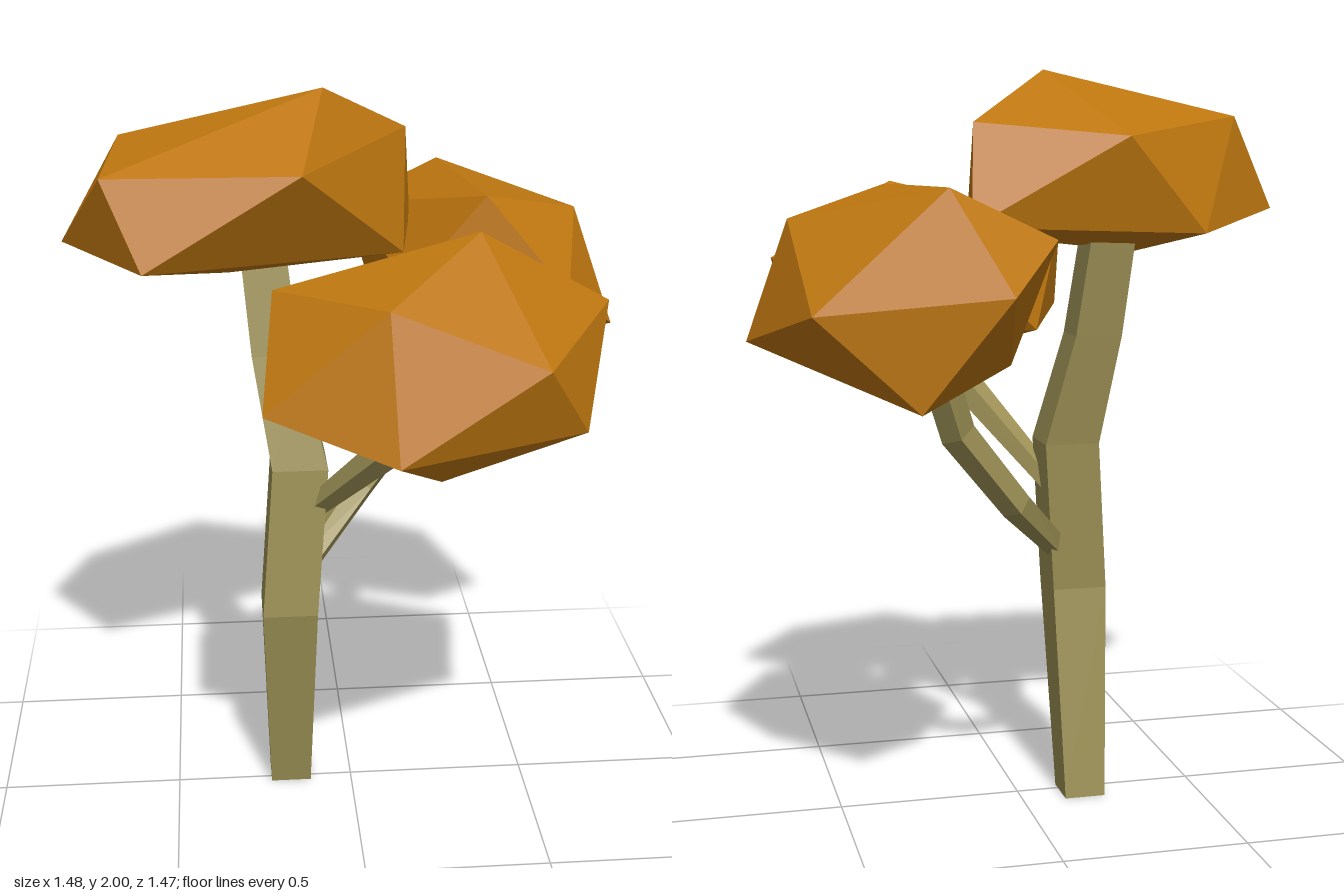
import * as THREE from 'three';
import { ConvexGeometry } from 'three/addons/geometries/ConvexGeometry.js';

const bark = new THREE.MeshStandardMaterial({ color: 0x9c9055, flatShading: true });
const leaf = new THREE.MeshStandardMaterial({ color: 0xbd760f, flatShading: true });

// Faceted limb: a cylinder whose rings follow stations [x, y, z, radius]
function limb(name, stations, sides, level) {
  const n = stations.length - 1;
  const centres = stations.map(([x, y, z]) => new THREE.Vector3(x, y, z));
  const up = new THREE.Vector3(0, 1, 0);
  const turns = centres.map((c, i) => {
    const tangent = centres[Math.min(i + 1, n)].clone().sub(centres[Math.max(i - 1, 0)]).normalize();
    return new THREE.Quaternion().setFromUnitVectors(up, level ? up : tangent);
  });
  const geometry = new THREE.CylinderGeometry(1, 1, 1, sides, n, false, Math.PI / sides);
  const pos = geometry.attributes.position;
  const v = new THREE.Vector3();
  for (let i = 0; i < pos.count; i++) {
    v.fromBufferAttribute(pos, i);
    const k = Math.round((v.y + 0.5) * n);
    v.y = 0;
    v.multiplyScalar(stations[k][3]).applyQuaternion(turns[k]).add(centres[k]);
    pos.setXYZ(i, v.x, v.y, v.z);
  }
  geometry.computeVertexNormals();
  const mesh = new THREE.Mesh(geometry, bark);
  mesh.name = name;
  return mesh;
}

// Foliage clump: the convex hull of an uneven twelve-cornered ball
function clump(name, corners) {
  const mesh = new THREE.Mesh(new ConvexGeometry(corners.map((c) => new THREE.Vector3(...c))), leaf);
  mesh.name = name;
  return mesh;
}

export function createModel() {
  const tree = new THREE.Group();
  tree.name = 'tree';

  // Square trunk leaning through several bends
  tree.add(limb('trunk', [
    [-0.175, 0, -0.03, 0.08],
    [-0.175, 0.585, 0.058, 0.106],
    [-0.142, 1.0, 0.022, 0.106],
    [-0.2, 1.3, -0.04, 0.09],
    [-0.23, 1.6, -0.09, 0.085],
  ], 4, true));

  // Two side branches
  tree.add(limb('backBranch', [
    [-0.12, 0.7, 0.02, 0.035],
    [0.04, 0.86, -0.14, 0.045],
    [0.21, 1.07, -0.2, 0.05],
    [0.28, 1.27, -0.27, 0.05],
  ], 5));
  tree.add(limb('frontBranch', [
    [-0.11, 0.87, 0.05, 0.032],
    [0.09, 1.13, 0.27, 0.048],
    [0.13, 1.24, 0.31, 0.045],
  ], 5));

  // Three foliage clumps
  tree.add(clump('topFoliage', [
    [-0.74, 1.63, 0.05], [-0.625, 1.84, 0.295], [-0.59, 1.88, -0.05], [-0.07, 2, 0],
    [-0.14, 1.84, 0.305], [0.165, 1.86, -0.21], [-0.53, 1.62, 0.36], [-0.2, 1.825, -0.375],
    [-0.42, 1.58, -0.32], [0.19, 1.6, -0.31], [0.14, 1.57, 0], [-0.32, 1.52, -0.02],
  ]));
  tree.add(clump('frontFoliage', [
    [0.29, 1.705, 0.335], [0.04, 1.595, 0.625], [0.42, 1.44, 0.625], [0.055, 1.25, 0.735],
    [-0.255, 1.33, 0.575], [-0.22, 1.585, 0.385], [0.635, 1.5, 0.245], [0.545, 1.235, 0.485],
    [0.17, 1.16, 0.59], [0.17, 1.53, 0.025], [0.37, 1.285, 0.15], [-0.1, 1.29, 0.18],
  ]));
  tree.add(clump('backFoliage', [
    [0.365, 1.705, -0.045], [0.295, 1.705, -0.55], [0.64, 1.625, -0.245], [0.74, 1.315, -0.155],
    [0.57, 1.465, 0.075], [0.18, 1.46, -0.735], [0.62, 1.41, -0.55], [0.38, 1.185, -0.64],
    [0.165, 1.46, -0.075], [0.03, 1.58, -0.54], [0.4, 1.215, -0.27], [0.12, 1.27, -0.43],
  ]));

  return tree;
}
